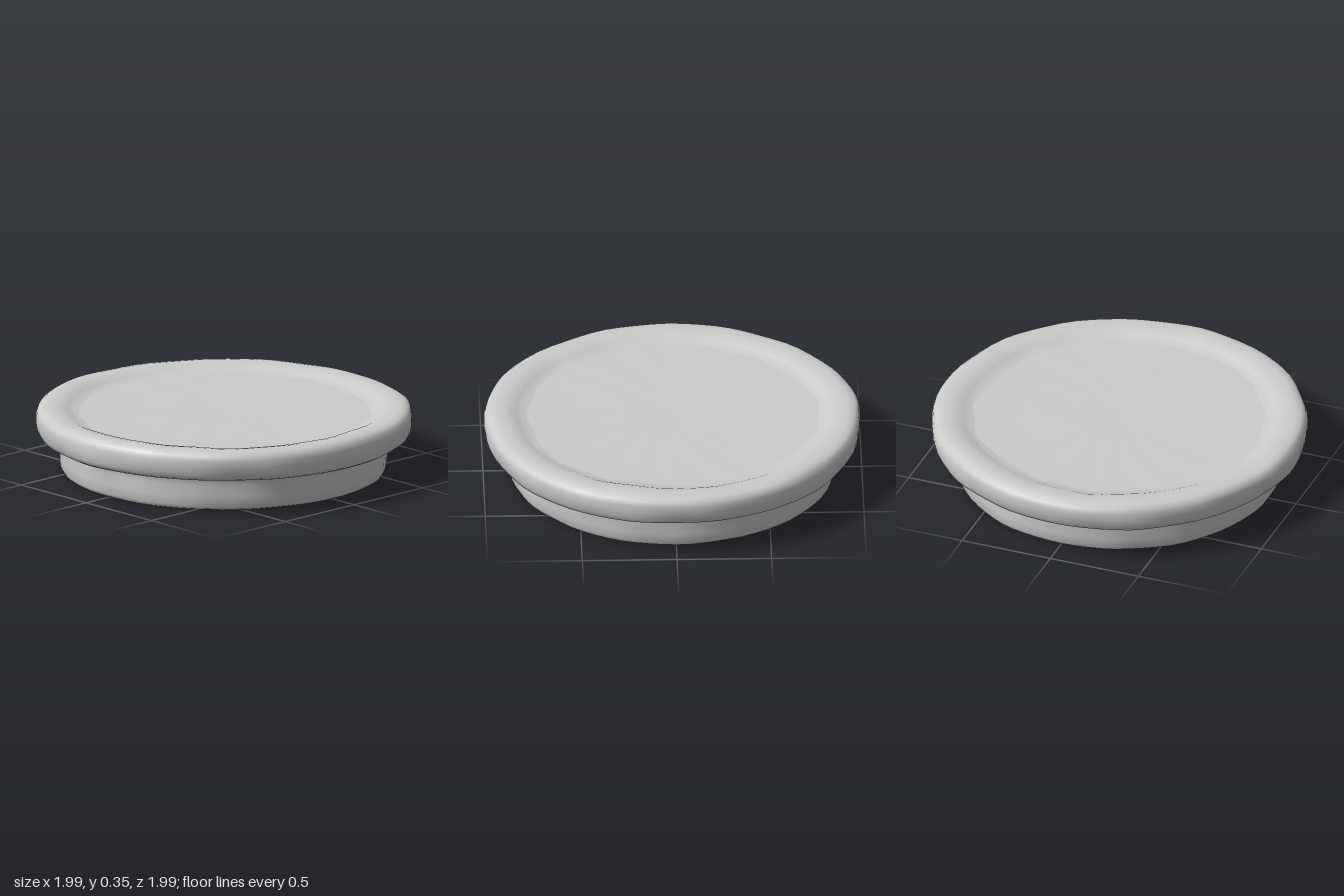
import * as THREE from 'three';
import { mergeVertices, toCreasedNormals } from 'three/addons/utils/BufferGeometryUtils.js';

const SEGMENTS = 72;

// Periodic hand-made unevenness, between -1 and 1
const wave = (a, p) =>
  0.45 * Math.sin(5 * a + p) + 0.3 * Math.sin(11 * a + 2.3 * p) + 0.25 * Math.sin(17 * a - p);

// Turned part whose vertices are pushed slightly in radius and height
function turned(name, profile, material, radial, vertical) {
  let geo = new THREE.LatheGeometry(profile.map(([r, y]) => new THREE.Vector2(r, y)), SEGMENTS);
  geo.deleteAttribute('uv');
  geo.deleteAttribute('normal');
  const pos = geo.attributes.position;
  for (let i = 0; i < pos.count; i++) {
    const x = pos.getX(i), y = pos.getY(i), z = pos.getZ(i);
    const r = Math.hypot(x, z);
    if (r < 1e-5) continue;
    const a = Math.atan2(x, z);
    const s = 1 + radial * (wave(a, 1 + y * 9) - 0.4);
    pos.setXYZ(i, x * s, y + vertical(r, y) * wave(a, 2 + r * 7), z * s);
  }
  geo = toCreasedNormals(mergeVertices(geo, 1e-4), 0.8);
  const mesh = new THREE.Mesh(geo, material);
  mesh.name = name;
  return mesh;
}

export function createModel() {
  const group = new THREE.Group();
  group.name = 'shallowRoundDish';
  const material = new THREE.MeshStandardMaterial({ color: 0xcccccc, side: THREE.DoubleSide });

  // Narrow foot with a flat underside and rounded lower edge
  group.add(turned('foot', [
    [0, 0.004], [0.4, 0.004], [0.8, 0.002], [0.838, 0.003], [0.856, 0.012], [0.865, 0.03],
    [0.868, 0.08], [0.868, 0.14], [0.872, 0.178], [0.885, 0.2],
  ], material, 0.007, () => 0));

  // Overhanging rolled rim, running over the lip and into the recess
  group.add(turned('rim', [
    [0.84, 0.192], [0.92, 0.19], [0.955, 0.193], [0.978, 0.205], [0.99, 0.23], [0.996, 0.27],
    [0.996, 0.305], [0.988, 0.332], [0.965, 0.348], [0.93, 0.353], [0.885, 0.351],
    [0.85, 0.345], [0.825, 0.334], [0.8, 0.325], [0.76, 0.319],
  ], material, 0.008, (r, y) => (y > 0.315 ? 0.004 : 0)));

  // Slightly sunken floor of the dish
  group.add(turned('dishFloor', [
    [0.79, 0.321], [0.7, 0.319], [0.5, 0.318], [0.25, 0.318], [0.06, 0.317], [0, 0.313],
  ], material, 0.006, (r) => 0.002 * r));

  return group;
}
